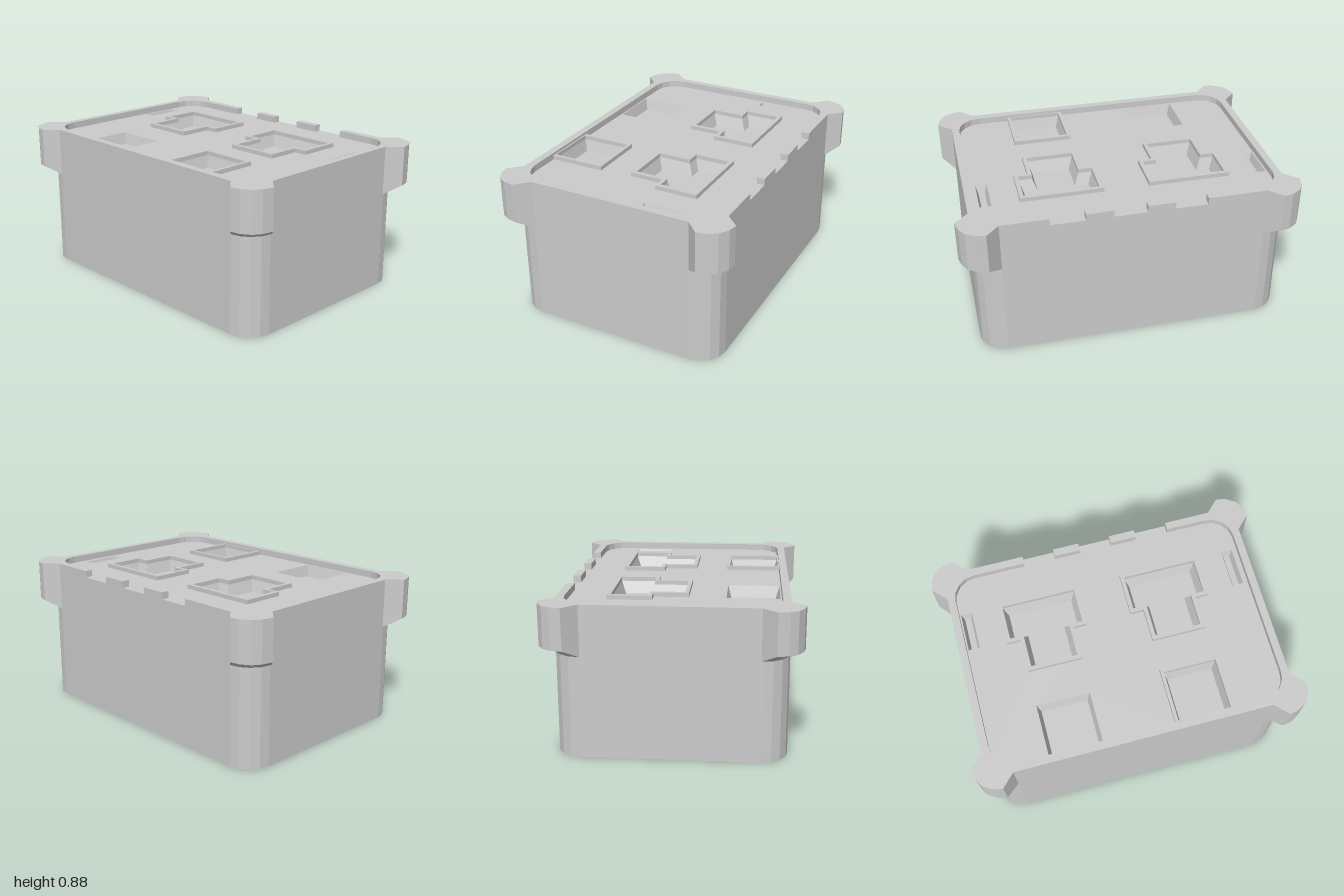
import * as THREE from 'three';

const TOP = 0.88, DECK = 0.84, FLOOR = 0.77;
const mat = new THREE.MeshStandardMaterial({ color: 0xcccccc, flatShading: true, side: THREE.DoubleSide });

// Outlines are lists of [x, z]; they are laid flat so depth runs up y.
const toShape = (pts) => new THREE.Shape(pts.map(([x, z]) => new THREE.Vector2(x, -z)));

function plate(pts, holes, y, height = 0) {
  const shape = toShape(pts);
  shape.holes = holes.map(toShape);
  const geo = height
    ? new THREE.ExtrudeGeometry(shape, { depth: height, bevelEnabled: false })
    : new THREE.ShapeGeometry(shape);
  return geo.rotateX(-Math.PI / 2).translate(0, y, 0);
}

// Side walls joining two outlines with the same number of points
function loft(a, ya, b, yb) {
  const pos = [];
  a.forEach((p, i) => {
    const j = (i + 1) % a.length;
    const v = [[p[0], ya, p[1]], [a[j][0], ya, a[j][1]], [b[j][0], yb, b[j][1]], [b[i][0], yb, b[i][1]]];
    for (const k of [0, 2, 1, 0, 3, 2]) pos.push(...v[k]);
  });
  const geo = new THREE.BufferGeometry();
  geo.setAttribute('position', new THREE.Float32BufferAttribute(pos, 3));
  geo.computeVertexNormals();
  return geo;
}

// Quarter arc of a rounded corner, sx and sz choosing the corner
function corner(hx, hz, r, sx, sz, n = 4) {
  const out = [];
  for (let i = 0; i <= n; i++) {
    const t = (i / n) * Math.PI / 2;
    out.push([sx * (hx - r + r * Math.cos(t)), sz * (hz - r + r * Math.sin(t))]);
  }
  return out;
}

// Rounded rectangle starting and ending on the back side
const around = (hx, hz, r) => [
  ...corner(hx, hz, r, -1, -1).reverse(),
  ...corner(hx, hz, r, -1, 1),
  ...corner(hx, hz, r, 1, 1).reverse(),
  ...corner(hx, hz, r, 1, -1),
];

const rect = (x0, x1, z0, z1) => (d) =>
  [[x0 + d, z0 + d], [x1 - d, z0 + d], [x1 - d, z1 - d], [x0 + d, z1 - d]];

// T-shaped outline inset by d
const tee = (cx) => (d) => {
  const a = 0.245 - d, s = 0.163 - d, z0 = -0.385 + d, z1 = -0.125 - d, z2 = 0.077 - d;
  return [[-a, z0], [a, z0], [a, z1], [s, z1], [s, z2], [-s, z2], [-s, z1], [-a, z1]]
    .map(([x, z]) => [cx + x, z]);
};

export function createModel() {
  const model = new THREE.Group();
  const add = (geo, name, parent = model) => {
    const mesh = new THREE.Mesh(geo, mat);
    mesh.name = name;
    parent.add(mesh);
    return mesh;
  };

  // Open-bottomed shell
  const body = around(0.92, 0.65, 0.15);
  add(loft(body, DECK, body, 0), 'shellWall');

  // Pockets sunk into the deck, some with a raised lip
  const pockets = [
    { name: 'leftTeePocket', outline: tee(0.37), lip: 0.024, taper: 0.026 },
    { name: 'rightTeePocket', outline: tee(-0.39), lip: 0.024, taper: 0.026 },
    { name: 'leftSquarePocket', outline: rect(0.195, 0.55, 0.27, 0.615), lip: 0.02, taper: 0.02 },
    { name: 'rightSquarePocket', outline: rect(-0.555, -0.235, 0.29, 0.595), lip: 0, taper: 0.02 },
    { name: 'leftSlot', outline: rect(0.778, 0.845, -0.385, -0.15), lip: 0, taper: 0.015, floor: 0.79 },
    { name: 'rightSlot', outline: rect(-0.865, -0.798, -0.385, -0.15), lip: 0, taper: 0.015, floor: 0.79 },
  ];
  const holes = [];
  for (const { name, outline, lip, taper, floor = FLOOR } of pockets) {
    const group = new THREE.Group();
    group.name = name;
    model.add(group);
    const mouth = outline(lip), base = outline(lip + taper);
    holes.push(mouth);
    if (lip) add(plate(outline(0), [mouth], DECK, 0.025), 'lip', group);
    add(loft(mouth, DECK, base, floor), 'pocketWall', group);
    add(plate(base, [], floor), 'pocketFloor', group);
  }
  add(plate(body, holes, DECK), 'deck');

  // Raised rim, open along the middle of the back
  const inner = around(0.875, 0.603, 0.14);
  add(plate([
    [-0.42, -0.65], ...body, [0.49, -0.65],
    [0.49, -0.603], ...inner.reverse(), [-0.42, -0.603],
  ], [], DECK, TOP - DECK), 'rim');

  // Tabs standing in the gap of the rim
  for (const x of [-0.147, 0.208]) {
    const tab = add(new THREE.BoxGeometry(0.16, TOP - DECK, 0.047), 'backTab');
    tab.position.set(x, (TOP + DECK) / 2, -0.6265);
  }

  // Corner bumpers with an underside sloping down to the wall
  const outer = [[0.845, 0.727], [0.9, 0.717], [0.957, 0.682], [0.985, 0.635], [1, 0.57]];
  for (const sx of [-1, 1]) for (const sz of [-1, 1]) {
    const pts = [
      ...outer.map(([x, z]) => [sx * x, sz * z]),
      [sx * 0.92, sz * 0.492],
      ...corner(0.92, 0.65, 0.15, sx, sz),
    ];
    const geo = plate(pts, [], 0.587, TOP - 0.587);
    const p = geo.attributes.position;
    for (let i = 0; i < p.count; i++) {
      const isOuter = outer.some(([x, z]) =>
        Math.abs(Math.abs(p.getX(i)) - x) < 1e-4 && Math.abs(Math.abs(p.getZ(i)) - z) < 1e-4);
      if (p.getY(i) < 0.6 && isOuter) p.setY(i, 0.64);
    }
    geo.computeVertexNormals();
    add(geo, 'cornerBumper');
  }
  return model;
}
